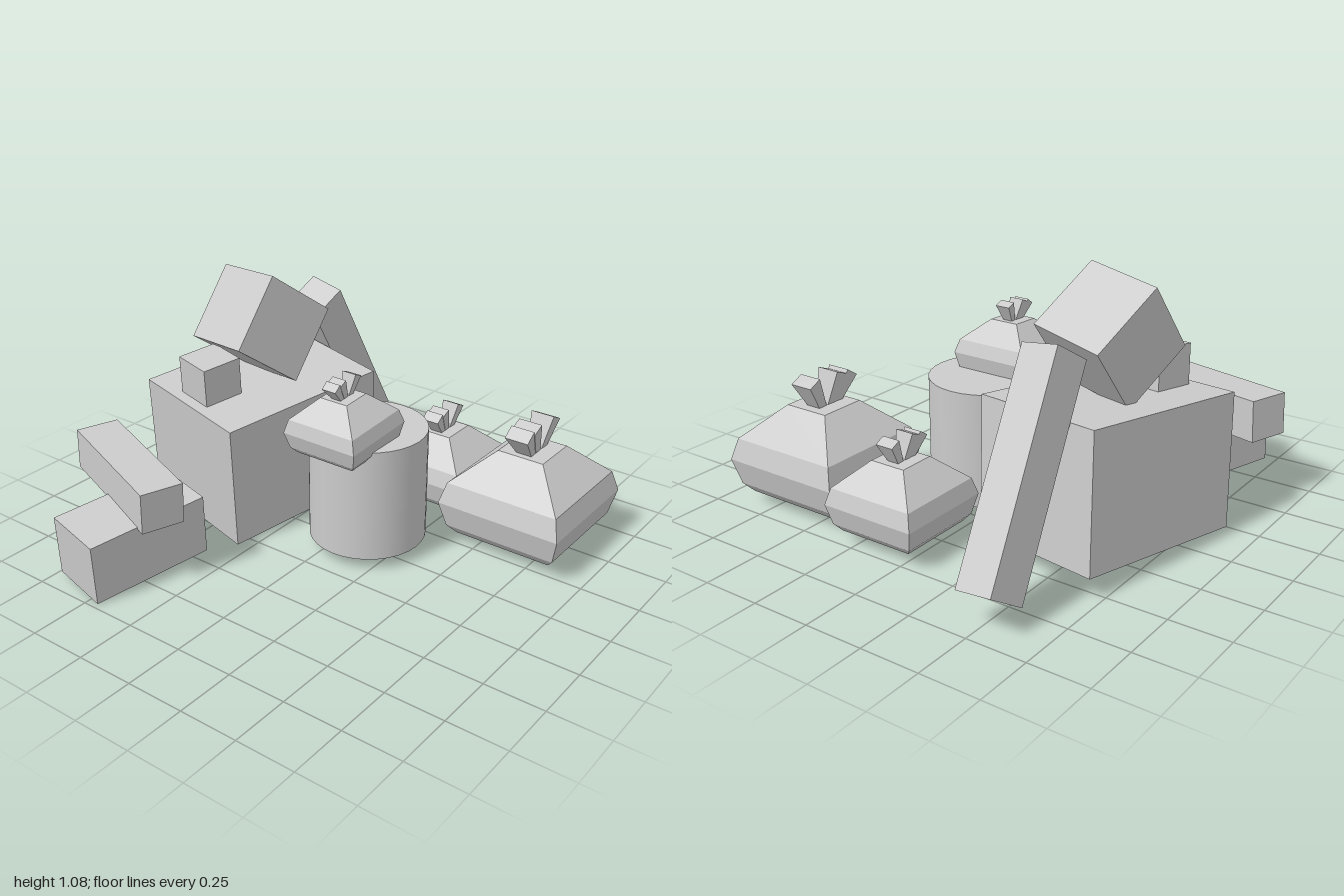
import * as THREE from 'three';

const material = new THREE.MeshStandardMaterial({ color: 0xcccccc, flatShading: true });
const smooth = new THREE.MeshStandardMaterial({ color: 0xcccccc });

// Box placed by its centre, size, and the directions of its width and height
function crate(name, centre, size, across, up) {
  const x = new THREE.Vector3(...across).normalize();
  const z = x.clone().cross(new THREE.Vector3(...up)).normalize();
  const y = z.clone().cross(x);
  const mesh = new THREE.Mesh(new THREE.BoxGeometry(...size), material);
  mesh.name = name;
  mesh.position.set(...centre);
  mesh.quaternion.setFromRotationMatrix(new THREE.Matrix4().makeBasis(x, y, z));
  return mesh;
}

// Square sack body: half-width and height of each ring
const sackProfile = [
  [0, 0], [0.215, 0], [0.248, 0.04], [0.275, 0.15], [0.25, 0.24], [0.103, 0.375], [0, 0.375],
].map(([half, y]) => new THREE.Vector2(half * Math.SQRT2, y));

// Gathered cloth above the knot: base offset and lean of each flap
const flaps = [[-0.045, 0.6], [-0.01, 0.4], [0.035, -0.45]];

function sack(name, position, scale, tilt = 0) {
  const group = new THREE.Group();
  group.name = name;
  const body = new THREE.Mesh(new THREE.LatheGeometry(sackProfile, 4).rotateY(Math.PI / 4), material);
  body.name = 'sackBody';
  group.add(body);

  for (const [x, lean] of flaps) {
    const geometry = new THREE.CylinderGeometry(0.052 * Math.SQRT2, 0.03 * Math.SQRT2, 0.15, 4);
    geometry.rotateY(Math.PI / 4).scale(0.6, 1, 1).translate(0, 0.062, 0);
    const flap = new THREE.Mesh(geometry, material);
    flap.name = 'sackFlap';
    flap.position.set(x, 0.37, 0);
    flap.rotation.z = lean;
    group.add(flap);
  }
  group.position.set(...position);
  group.scale.setScalar(scale);
  group.rotation.z = tilt;
  return group;
}

export function createModel() {
  const model = new THREE.Group();
  model.name = 'cargoPile';

  // Crates and planks
  model.add(
    crate('largeCrate', [0.098, 0.323, -0.5], [0.766, 0.552, 0.593], [0.745, 0.055, 0.17], [-0.04, 0.55, 0.025]),
    crate('tippedCrate', [0.09, 0.836, -0.495], [0.338, 0.336, 0.337], [0.26, -0.2, 0.085], [0.2, 0.268, 0.02]),
    crate('smallCrate', [-0.165, 0.66, -0.56], [0.178, 0.175, 0.178], [0.745, 0.055, 0.17], [-0.04, 0.55, 0.025]),
    crate('leaningCrate', [0.668, 0.493, -0.5], [0.169, 0.888, 0.167], [0.14, 0.09, 0.03], [-0.495, 0.735, 0.065]),
    crate('lowCrate', [-0.705, 0.163, -0.523], [0.522, 0.266, 0.272], [0.51, 0.035, 0.11], [-0.02, 0.265, 0.015]),
    crate('longCrate', [-0.623, 0.375, -0.603], [0.18, 0.175, 0.602], [0.17, 0, 0.06], [0, 0.175, 0.01]),
  );

  // Barrel
  const barrel = new THREE.Mesh(new THREE.CylinderGeometry(0.245, 0.245, 0.485, 32), smooth);
  barrel.name = 'barrel';
  barrel.position.set(0.047, 0.298, 0.103);
  model.add(barrel);

  // Sacks
  model.add(
    sack('largeSack', [0.465, 0.055, 0.633], 1),
    sack('mediumSack', [0.565, 0.055, 0.14], 0.77),
    sack('smallSack', [-0.11, 0.503, 0.1], 0.62, 0.05),
  );
  return model;
}
